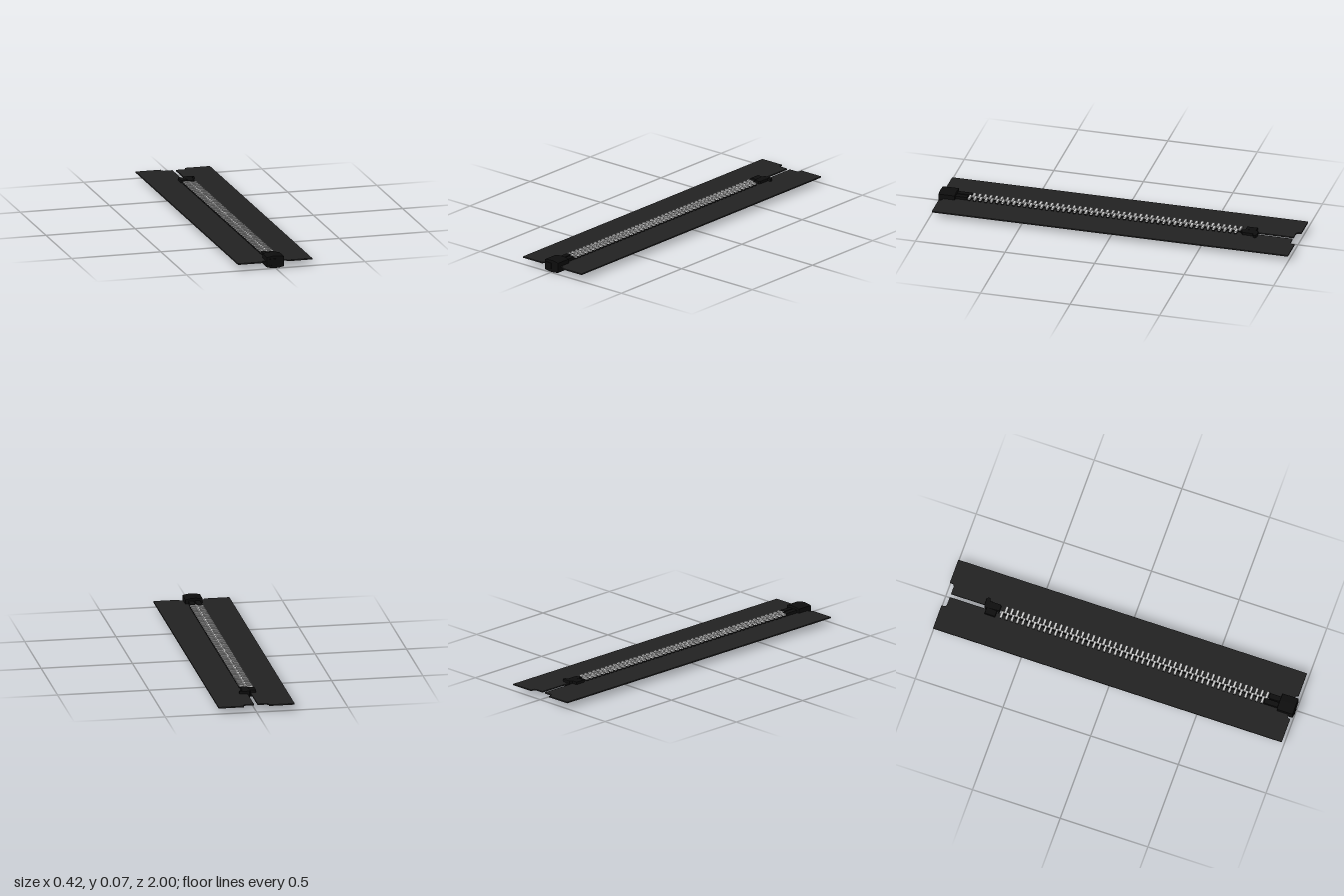
import * as THREE from 'three';

const MID = 0.0365; // height of the tape's middle plane
const tapeMat = new THREE.MeshStandardMaterial({ color: 0x222222 });
const blackMat = new THREE.MeshStandardMaterial({ color: 0x0d0d0d });
const toothMat = new THREE.MeshStandardMaterial({ color: 0xcccccc });

// Extrude a plan outline of [x, z] points upward between two heights
function slab(points, y0, y1, bevel = 0) {
  const shape = new THREE.Shape(points.map(([x, z]) => new THREE.Vector2(x, -z)));
  const geo = new THREE.ExtrudeGeometry(shape, {
    depth: y1 - y0 - 2 * bevel, bevelEnabled: bevel > 0, bevelSize: bevel,
    bevelThickness: bevel, bevelOffset: -bevel, bevelSegments: 2,
  });
  geo.rotateX(-Math.PI / 2);
  geo.translate(0, y0 + bevel, 0);
  return geo;
}

const rect = (x0, x1, z0, z1) => [[x0, z0], [x1, z0], [x1, z1], [x0, z1]];

export function createModel() {
  const model = new THREE.Group();
  const add = (name, geo, mat, parent = model) => {
    const mesh = new THREE.Mesh(geo, mat);
    mesh.name = name;
    parent.add(mesh);
    return mesh;
  };

  // Two tapes, notched at both ends beside the slit
  for (const s of [1, -1]) {
    const outline = [
      [0.01, -0.973], [0.056, -0.973], [0.064, -0.977], [0.069, -0.985], [0.069, -1],
      [0.208, -1], [0.208, 0.988], [0.069, 0.988], [0.067, 0.976], [0.06, 0.97], [0.01, 0.97],
    ].map(([x, z]) => [s * x, z]);
    add(s > 0 ? 'leftTape' : 'rightTape', slab(outline, MID - 0.0035, MID + 0.0035), tapeMat);
  }

  // Interlocking teeth: dark clamped body with a bright upper face
  const pitch = 0.031, count = 49, first = -0.675;
  for (const s of [1, -1]) {
    const outline = [
      [0.036, -0.007], [0.016, -0.007], [0.011, -0.005], [0.006, -0.0075], [-0.001, -0.0075],
      [-0.004, -0.004], [-0.004, 0.004], [-0.001, 0.0075], [0.006, 0.0075], [0.011, 0.005],
      [0.016, 0.007], [0.036, 0.007],
    ].map(([x, z]) => [s * x, z]);
    const body = slab(outline, 0.019, 0.047, 0.001);
    const face = slab(outline, 0.046, 0.055, 0.001);
    const row = new THREE.Group();
    row.name = s > 0 ? 'leftTeeth' : 'rightTeeth';
    model.add(row);
    for (let i = 0; i < count; i++) {
      const z = first + i * pitch + (s > 0 ? pitch / 2 : 0);
      add('toothBody', body, blackMat, row).position.z = z;
      add('toothFace', face, toothMat, row).position.z = z;
    }
  }

  // Top stops, one with a sideways hook
  add('rightTopStop', slab(rect(-0.04, -0.004, -0.765, -0.705), 0.018, 0.055, 0.003), blackMat);
  add('leftTopStop', slab([
    [-0.008, -0.765], [0, -0.78], [0.04, -0.782], [0.053, -0.775], [0.053, -0.762],
    [0.036, -0.757], [0.035, -0.7], [0.028, -0.692], [-0.002, -0.692],
  ], 0.018, 0.055, 0.003), blackMat);

  // Bottom pins running into the retainer box
  add('rightPin', slab(rect(-0.034, -0.003, 0.825, 0.92), 0.018, 0.056, 0.003), blackMat);
  add('leftPin', slab(rect(0.001, 0.032, 0.84, 0.92), 0.018, 0.056, 0.003), blackMat);

  // Retainer box with arched top and bottom
  const arch = new THREE.Shape();
  arch.moveTo(-0.048, 0.009);
  arch.quadraticCurveTo(0, -0.005, 0.048, 0.009);
  arch.lineTo(0.048, 0.064);
  arch.quadraticCurveTo(0, 0.078, -0.048, 0.064);
  arch.closePath();
  const box = new THREE.ExtrudeGeometry(arch, {
    depth: 0.084, curveSegments: 12, bevelEnabled: true,
    bevelSize: 0.004, bevelOffset: -0.004, bevelThickness: 0.004, bevelSegments: 2,
  });
  box.translate(0, 0, 0.908);
  add('retainerBox', box, blackMat);

  // Pin end showing on the front of the box
  add('pinEnd', slab(rect(-0.034, 0.003, 0.98, 1), 0.02, 0.055, 0.002), blackMat);

  return model;
}
